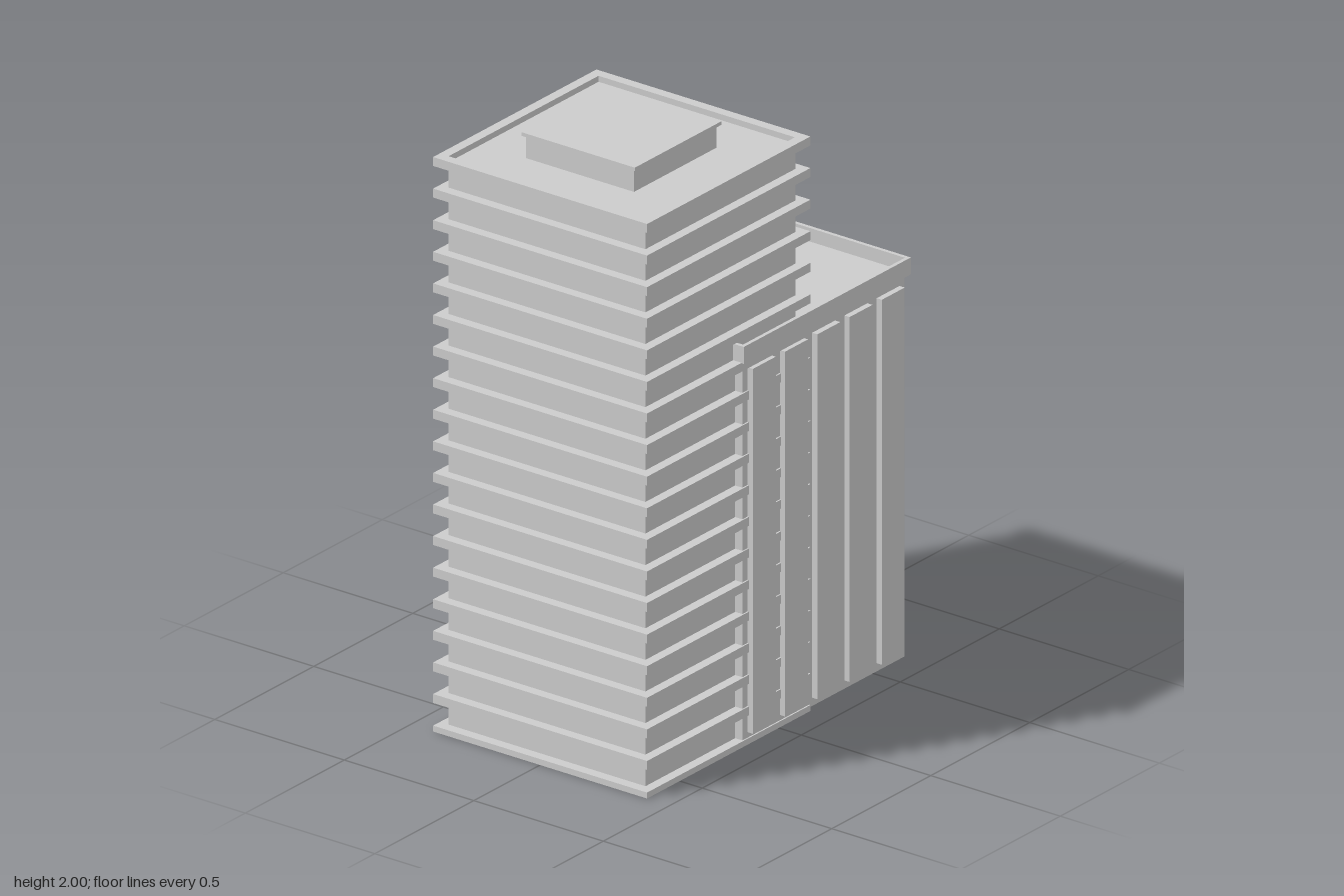
import * as THREE from 'three';

const material = new THREE.MeshStandardMaterial({ color: 0xcccccc, flatShading: true });

// Box given by its min/max extents
function box(parent, name, x0, x1, y0, y1, z0, z1) {
  const mesh = new THREE.Mesh(new THREE.BoxGeometry(x1 - x0, y1 - y0, z1 - z0), material);
  mesh.position.set((x0 + x1) / 2, (y0 + y1) / 2, (z0 + z1) / 2);
  mesh.name = name;
  parent.add(mesh);
  return mesh;
}

// Rectangular ring wall with thickness t
function parapet(parent, name, x0, x1, y0, y1, d, t) {
  const rect = (P, a, b, c) => new P([[a, -c], [b, -c], [b, c], [a, c]].map(p => new THREE.Vector2(...p)));
  const shape = rect(THREE.Shape, x0, x1, d);
  shape.holes.push(rect(THREE.Path, x0 + t, x1 - t, d - t));
  const geometry = new THREE.ExtrudeGeometry(shape, { depth: y1 - y0, bevelEnabled: false });
  geometry.rotateX(-Math.PI / 2);
  const mesh = new THREE.Mesh(geometry, material);
  mesh.position.y = y0;
  mesh.name = name;
  parent.add(mesh);
}

function createTower() {
  const tower = new THREE.Group();
  tower.name = 'tallTower';
  box(tower, 'towerCore', -0.63, 0.127, 0.005, 1.912, -0.38, 0.38);

  // Floor slabs; the lowest one is cut by the ground
  const floors = 18, pitch = 1.912 / floors;
  for (let i = 0; i < floors; i++) {
    const top = 0.02 + i * pitch;
    box(tower, 'floorSlab', -0.665, 0.16, Math.max(0, top - 0.03), top, -0.413, 0.413);
  }
  parapet(tower, 'towerParapet', -0.665, 0.16, 1.902, 1.932, 0.413, 0.034);

  // Rooftop plant room with thin overhanging cap
  box(tower, 'plantRoom', -0.463, -0.047, 1.9, 1.99, -0.208, 0.208);
  box(tower, 'plantRoomCap', -0.473, -0.034, 1.988, 2, -0.219, 0.219);
  return tower;
}

function createBlock() {
  const block = new THREE.Group();
  block.name = 'lowerBlock';
  box(block, 'blockBody', -0.177, 0.643, 0.01, 1.305, -0.408, 0.408);
  parapet(block, 'blockParapet', -0.187, 0.657, 1.293, 1.35, 0.421, 0.013);

  // Tall raised facade panels on the front, back and side
  for (let i = 0; i < 5; i++) {
    const x = -0.092 + i * 0.1627;
    for (const s of [-1, 1]) {
      box(block, 'facadePanel', x - 0.058, x + 0.058, 0.038, 1.265, s * 0.416 - 0.012, s * 0.416 + 0.012);
    }
    const z = (i - 2) * 0.1645;
    box(block, 'sidePanel', 0.635, 0.662, 0.038, 1.265, z - 0.058, z + 0.058);
  }

  // Roof plant and mast
  box(block, 'roofPlant', 0.15, 0.48, 1.3, 1.388, -0.247, 0.077);
  box(block, 'mastBase', 0.198, 0.272, 1.38, 1.474, -0.04, 0.035);
  box(block, 'mast', 0.223, 0.248, 1.47, 1.705, -0.015, 0.01);
  return block;
}

export function createModel() {
  const model = new THREE.Group();
  model.name = 'officeBuilding';
  model.add(createTower(), createBlock());
  return model;
}
